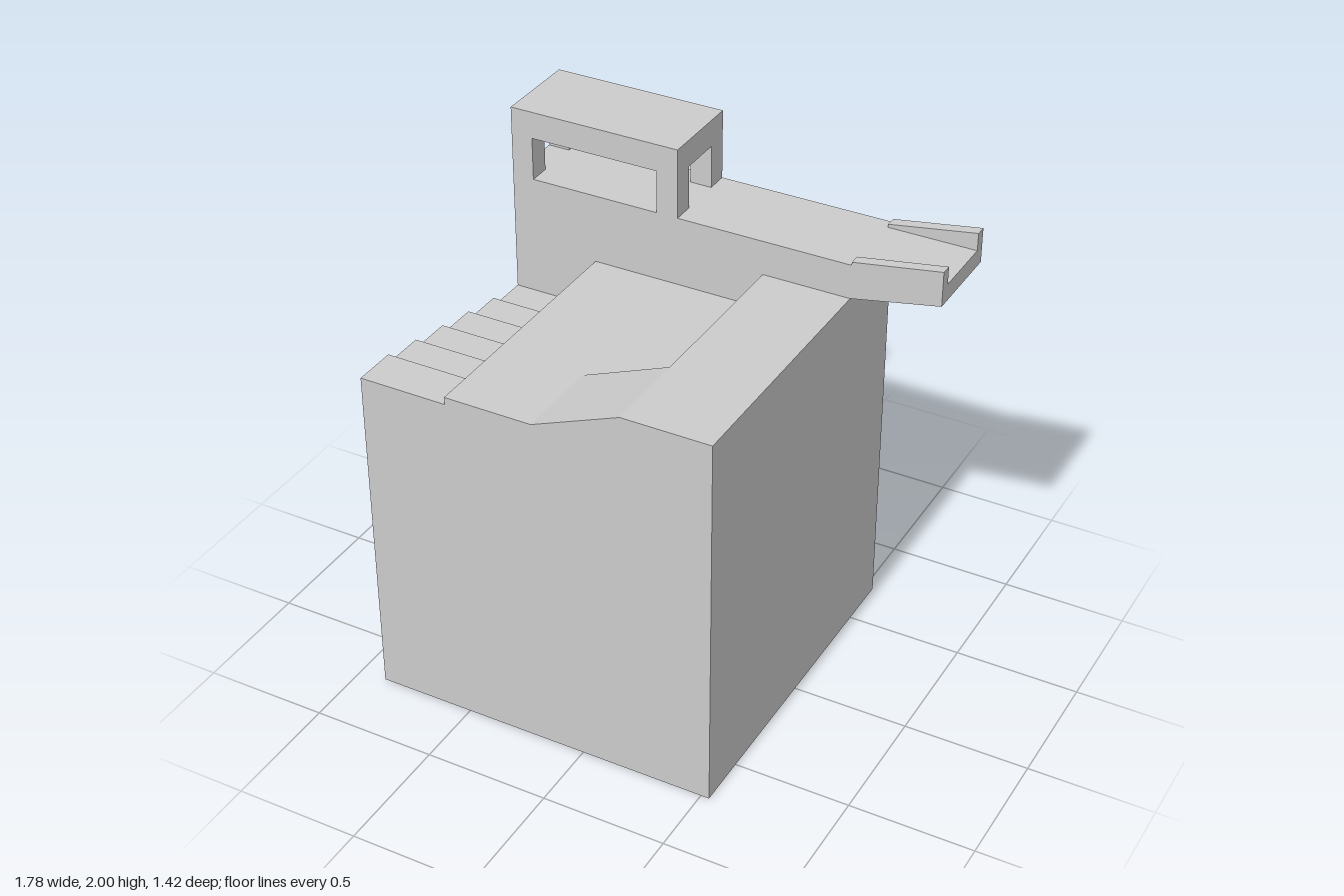
import * as THREE from 'three';

const U = 0.178;                       // half a grid cell
const L = -5 * U, R = 3 * U, END = 5 * U;          // body left, body right, ramp tip
const F = 4 * U, B = -4 * U, BF = -2 * U;          // front, back, walkway front
const STAIR = -3 * U;                  // inner edge of the stairs
const LOW = 1.43, HIGH = 1.575, WALK = 1.715, TOP = 2;

const mat = new THREE.MeshStandardMaterial({ color: 0xcccccc, side: THREE.DoubleSide, flatShading: true });

export function createModel() {
  const model = new THREE.Group();
  const body = new THREE.Group();
  body.name = 'body';
  const tower = new THREE.Group();
  tower.name = 'tower';
  const ramp = new THREE.Group();
  ramp.name = 'ramp';
  model.add(body, tower, ramp);

  const add = (parent, name, geometry) => {
    const mesh = new THREE.Mesh(geometry, mat);
    mesh.name = name;
    parent.add(mesh);
    return mesh;
  };
  const shape = (pts) => new THREE.Shape(pts.map(([a, b]) => new THREE.Vector2(a, b)));

  // flat wall from an (x, y) outline at a given z
  const wallZ = (name, z, pts) =>
    add(body, name, new THREE.ShapeGeometry(shape(pts)).translate(0, 0, z));
  // flat wall from a (z, y) outline at a given x
  const wallX = (name, x, pts) =>
    add(body, name, new THREE.ShapeGeometry(shape(pts)).rotateY(-Math.PI / 2).translate(x, 0, 0));
  // open sheet: a profile line swept along x or z
  const sheet = (name, axis, from, to, profile) => {
    const pos = [];
    const at = ([a, y], s) => (axis === 'z' ? [a, y, s] : [s, y, a]);
    for (let i = 0; i < profile.length - 1; i++) {
      const a = at(profile[i], from), b = at(profile[i + 1], from);
      const c = at(profile[i + 1], to), d = at(profile[i], to);
      pos.push(...d, ...c, ...b, ...d, ...b, ...a);
    }
    const g = new THREE.BufferGeometry();
    g.setAttribute('position', new THREE.Float32BufferAttribute(pos, 3));
    g.computeVertexNormals();
    add(body, name, g);
  };
  const box = (parent, name, x0, x1, y0, y1, z0, z1) =>
    add(parent, name, new THREE.BoxGeometry(x1 - x0, y1 - y0, z1 - z0))
      .position.set((x0 + x1) / 2, (y0 + y1) / 2, (z0 + z1) / 2);

  // stair profile, descending from the front to the walkway
  const steps = [];
  for (let i = 0; i < 6; i++) {
    const y = 1.4 - i * U / 5;
    steps.push([F - i * U, y], [F - (i + 1) * U, y]);
  }
  const bottomStep = steps[steps.length - 1][1];

  // outer walls of the hollow block, open underneath
  wallZ('frontWall', F, [[L, 0], [R, 0], [R, HIGH], [U, HIGH], [-U, LOW], [STAIR, LOW], [STAIR, 1.4], [L, 1.4]]);
  wallZ('backWall', B, [[L, 0], [R, 0], [R, WALK], [L, WALK]]);
  wallX('leftWall', L, [[F, 0], ...steps, [BF, WALK], [B, WALK], [B, 0]]);
  wallX('rightWall', R, [[F, 0], [F, HIGH], [B, HIGH], [B, 0]]);

  // stairs and the wall beside them
  sheet('stairs', 'x', L, STAIR, steps);
  wallX('stairSideWall', STAIR, [...steps, [BF, LOW], [F, LOW]]);

  // two-level terrace with a sloped front strip
  sheet('terrace', 'z', BF, 2 * U, [[STAIR, LOW], [U, LOW], [U, HIGH], [R, HIGH]]);
  sheet('terraceSlope', 'z', 2 * U, F, [[STAIR, LOW], [-U, LOW], [U, HIGH], [R, HIGH]]);
  wallZ('slopeSideWall', 2 * U, [[-U, LOW], [U, LOW], [U, HIGH]]);

  // raised walkway along the back
  sheet('walkwayTop', 'z', B, BF, [[L, WALK], [R, WALK]]);
  wallZ('walkwayFrontWall', BF, [[L, bottomStep], [STAIR, bottomStep], [STAIR, LOW], [U, LOW],
    [U, HIGH], [R, HIGH], [R, WALK], [L, WALK]]);

  // tower: four corner posts under a roof slab
  const P = U / 2, ROOF = 1.89;
  for (const x of [L, -U - P])
    for (const z of [B, BF - P])
      box(tower, 'towerPost', x, x + P, WALK, ROOF, z, z + P);
  box(tower, 'towerRoof', L, -U, ROOF, TOP, B, BF);

  // overhanging ramp with a rising underside and two rails
  const extrude = (name, z, depth, pts) =>
    add(ramp, name, new THREE.ExtrudeGeometry(shape(pts), { depth, bevelEnabled: false }).translate(0, 0, z));
  extrude('rampDeck', B, BF - B, [[R, HIGH], [END, 1.645], [END, WALK], [R, WALK]]);
  const RAIL = U / 4;
  for (const z of [B, BF - RAIL])
    extrude('rampRail', z, RAIL, [[R, WALK], [END, WALK], [END, 1.787], [R, 1.728]]);

  return model;
}
